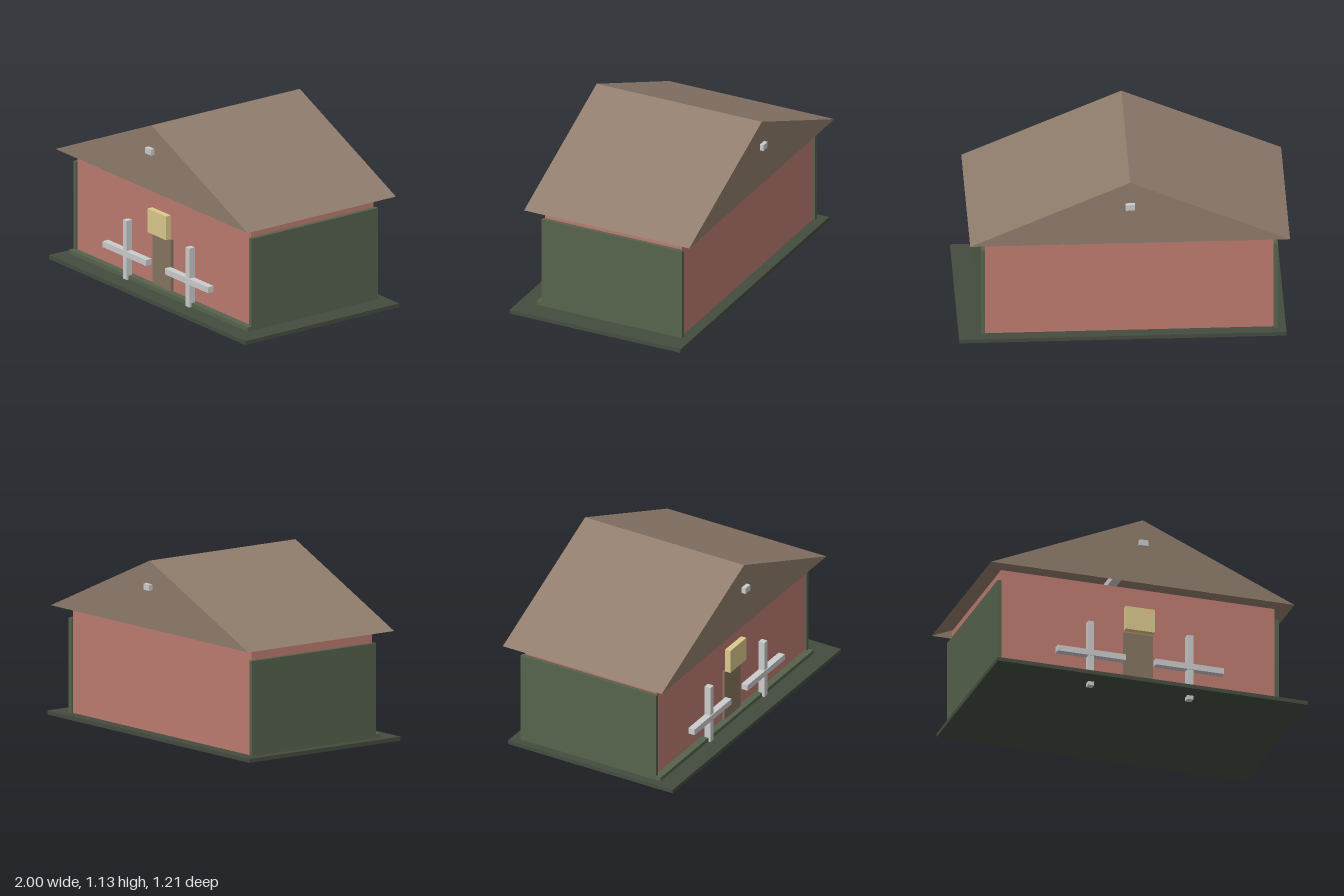
import * as THREE from 'three';

const mat = (color, side = THREE.FrontSide) =>
  new THREE.MeshStandardMaterial({ color, side, flatShading: true });

const RED = mat(0xbd7b70), GREEN = mat(0x56634c), SLAB = mat(0x444c3f);
const DOOR = mat(0x857560), YELLOW = mat(0xdcc98d), GREY = mat(0xcccccc);
const ROOF = mat(0x8f7c6c, THREE.DoubleSide);

// Box given by its extents along each axis
function box(name, material, [x0, x1], [y0, y1], [z0, z1]) {
  const mesh = new THREE.Mesh(new THREE.BoxGeometry(x1 - x0, y1 - y0, z1 - z0), material);
  mesh.position.set((x0 + x1) / 2, (y0 + y1) / 2, (z0 + z1) / 2);
  mesh.name = name;
  return mesh;
}

// Thin gabled roof, open underneath: two slopes and two gable triangles
function makeRoof() {
  const [x0, xm, x1] = [-1, -0.033, 0.935];
  const [y0, y1] = [0.71, 1.13];
  const [z0, z1] = [-0.58, 0.54];
  const section = [[x0, y0], [xm, y1], [x1, y0]];
  const points = [];
  for (const z of [z1, z0]) for (const [x, y] of section) points.push(x, y, z);
  const geometry = new THREE.BufferGeometry();
  geometry.setAttribute('position', new THREE.Float32BufferAttribute(points, 3));
  geometry.setIndex([
    0, 2, 1, 3, 4, 5,             // gables
    0, 1, 4, 0, 4, 3,             // slope on the right
    1, 2, 5, 1, 5, 4,             // slope on the left
  ]);
  const flat = geometry.toNonIndexed();
  flat.computeVertexNormals();
  const mesh = new THREE.Mesh(flat, ROOF);
  mesh.name = 'roof';
  return mesh;
}

export function createModel() {
  const house = new THREE.Group();
  house.name = 'house';

  // Ground, body and floor edge
  house.add(box('groundSlab', SLAB, [-0.98, 1], [0.025, 0.05], [-0.555, 0.605]));
  house.add(box('houseBody', RED, [-0.905, 0.84], [0.026, 0.71], [-0.482, 0.445]));
  house.add(box('frontStep', GREEN, [-0.93, 0.865], [0.05, 0.075], [0.43, 0.49]));

  // Side wall panels
  for (const [name, x] of [['rightWallPanel', -0.93], ['leftWallPanel', 0.84]])
    house.add(box(name, GREEN, [x, x + 0.025], [0.05, 0.636], [-0.497, 0.457]));

  // Roof with the ridge beam poking out of both gables
  house.add(makeRoof());
  house.add(box('ridgeBeam', GREY, [-0.061, -0.005], [0.95, 0.988], [-0.605, 0.567]));

  // Door and the panel above it
  house.add(box('door', DOOR, [-0.128, 0.06], [0.075, 0.405], [0.44, 0.461]));
  house.add(box('doorPanel', YELLOW, [-0.128, 0.06], [0.412, 0.564], [0.463, 0.5]));

  // Fence: one post and one rail on each side of the door
  for (const [side, post, rail] of [['right', -0.369, -0.565], ['left', 0.263, 0.06]]) {
    const fence = new THREE.Group();
    fence.name = side + 'Fence';
    fence.add(box('post', GREY, [post, post + 0.038], [0, 0.427], [0.464, 0.505]));
    fence.add(box('rail', GREY, [rail, rail + 0.436], [0.197, 0.235], [0.467, 0.51]));
    house.add(fence);
  }
  return house;
}
